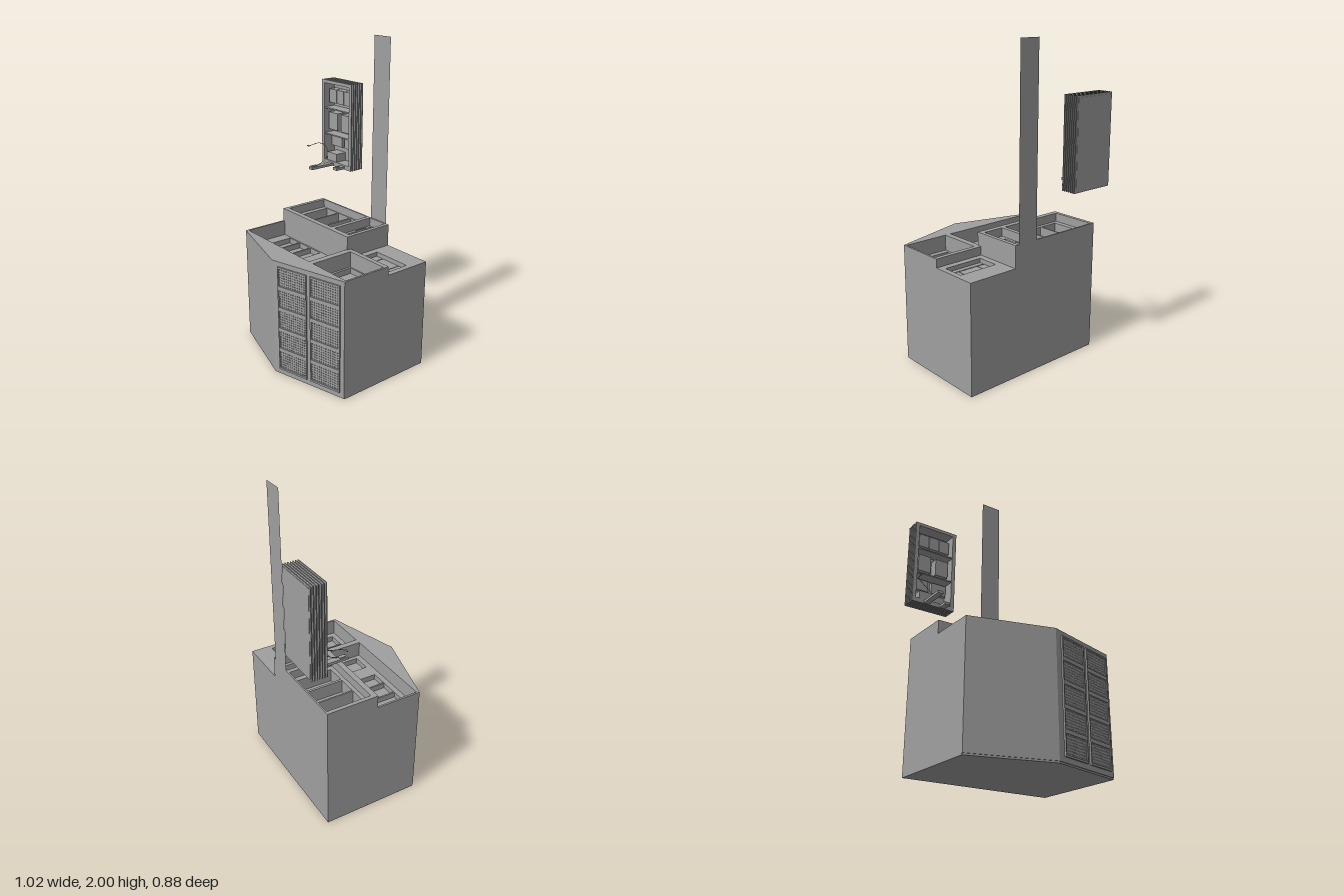
import * as THREE from 'three';

const grey = new THREE.MeshStandardMaterial({ color: 0xa0a0a0 });
grey.name = 'plain grey';
const greySheet = new THREE.MeshStandardMaterial({ color: 0xa0a0a0, side: THREE.DoubleSide });
greySheet.name = 'plain grey';

function add(parent, name, geometry, material = grey) {
  const mesh = new THREE.Mesh(geometry, material);
  mesh.name = name;
  parent.add(mesh);
  return mesh;
}

// Box given by its limits on each axis
function block(parent, name, x0, x1, y0, y1, z0, z1) {
  const mesh = add(parent, name, new THREE.BoxGeometry(x1 - x0, y1 - y0, z1 - z0));
  mesh.position.set((x0 + x1) / 2, (y0 + y1) / 2, (z0 + z1) / 2);
  return mesh;
}

const rect = (x0, x1, y0, y1) => [[x0, y0], [x1, y0], [x1, y1], [x0, y1]];
const toVectors = (points) => points.map(([x, y]) => new THREE.Vector2(x, y));

function plate(outline, holes, depth) {
  const shape = new THREE.Shape(toVectors(outline));
  shape.holes = holes.map((h) => new THREE.Path(toVectors(rect(...h))));
  return new THREE.ExtrudeGeometry(shape, { depth, bevelEnabled: false });
}

// Horizontal slab: outline and holes in x, z
function layer(parent, name, outline, holes, y0, y1) {
  const geometry = plate(outline, holes, y1 - y0);
  geometry.rotateX(Math.PI / 2).translate(0, y1, 0);
  return add(parent, name, geometry);
}

function createCabinet() {
  const cabinet = new THREE.Group();
  cabinet.name = 'cabinet';
  const footprint = [[-0.49, -0.34], [0.51, -0.34], [0.51, 0.3], [0.01, 0.44], [-0.49, 0.3]];
  const inset = [[-0.49, -0.34], [0.51, -0.34], [0.51, 0.295], [0.01, 0.435], [-0.49, 0.295]];
  const notched = [[-0.49, -0.34], [0.175, -0.34], [0.175, -0.03], [0.51, -0.03],
    [0.51, 0.3], [0.01, 0.44], [-0.49, 0.3]];

  const basins = [[-0.478, 0.165, 0, 0.285], [0.205, 0.498, 0, 0.285]];
  const basinPits = [[-0.405, -0.305, 0.01, 0.25], [-0.295, -0.19, 0.01, 0.25], [-0.18, -0.08, 0.01, 0.25],
    [0.02, 0.14, 0.105, 0.25], [0.22, 0.345, 0.01, 0.25], [0.352, 0.46, 0.01, 0.25]];
  const upperTrays = [[-0.465, -0.018, -0.33, -0.035], [0.01, 0.15, -0.33, -0.035]];
  const upperPits = [[-0.43, -0.31, -0.325, -0.06], [-0.3, -0.185, -0.325, -0.06],
    [-0.17, -0.05, -0.325, -0.06], [0.03, 0.13, -0.325, -0.09]];
  const sideTray = [0.215, 0.475, -0.21, -0.07];

  layer(cabinet, 'plinth', inset, [], 0, 0.01);
  layer(cabinet, 'lowerBody', footprint, [], 0.01, 0.62);
  layer(cabinet, 'pitLayer', footprint, basinPits, 0.62, 0.655);
  layer(cabinet, 'basinLayer', footprint, [...basins, sideTray], 0.655, 0.7);
  layer(cabinet, 'worktop', notched, [...basins, ...upperPits], 0.7, 0.755);
  layer(cabinet, 'raisedTrayFloor', rect(-0.49, 0.175, -0.34, 0), upperPits, 0.755, 0.785);
  layer(cabinet, 'raisedTrayWalls', rect(-0.49, 0.175, -0.34, 0), upperTrays, 0.785, 0.84);

  // Inserts in the side tray and a small door handle
  [[0.22, 0.272], [0.277, 0.41], [0.415, 0.47]].forEach(([a, b]) =>
    block(cabinet, 'trayInsert', a, b, 0.655, 0.675, -0.205, -0.112));
  block(cabinet, 'trayBar', 0.22, 0.47, 0.655, 0.675, -0.105, -0.075);
  block(cabinet, 'hatchHandle', 0.034, 0.042, 0.7, 0.795, -0.27, -0.19);
  return cabinet;
}

// Perforated panels on the slanted front face
function createVents() {
  const vents = new THREE.Group();
  vents.name = 'frontVents';
  vents.position.set(0.01, 0, 0.44);
  vents.rotation.y = Math.atan2(0.14, 0.5);
  const rows = [0, 1, 2, 3, 4].map((i) => 0.048 + i * 0.1375);
  const high = 0.122, cols = 12, lines = 7;
  for (const [s0, s1] of [[0.045, 0.255], [0.282, 0.492]]) {
    const windows = rows.map((y) => [s0 + 0.008, s1 - 0.008, y + 0.004, y + high - 0.004]);
    add(vents, 'ventFrame', plate(rect(s0, s1, 0.04, 0.725), windows, 0.01));
    for (const [a, b, c, d] of windows) {
      const holes = [];
      for (let i = 0; i < cols; i++) {
        for (let j = 0; j < lines; j++) {
          const x = a + ((i + 0.5) / cols) * (b - a);
          const y = c + ((j + 0.5) / lines) * (d - c);
          holes.push([x - 0.003, x + 0.003, y - 0.003, y + 0.003]);
        }
      }
      add(vents, 'ventGrille', plate(rect(a, b, c, d), holes, 0.005));
    }
  }
  return vents;
}

// Floating shelf unit with ribbed sides
function createWallUnit() {
  const unit = new THREE.Group();
  unit.name = 'wallUnit';
  const shell = add(unit, 'unitFrame', plate(rect(-0.485, -0.21, 1.105, 1.66), [[-0.472, -0.222, 1.13, 1.65]], 0.09));
  shell.position.z = -0.43;
  block(unit, 'unitBack', -0.485, -0.21, 1.105, 1.66, -0.44, -0.425);
  for (let i = 0; i < 7; i++) {
    const rib = add(unit, 'sideRib', plate(rect(-0.498, -0.197, 1.1, 1.672), [[-0.475, -0.22, 1.12, 1.652]], 0.005));
    rib.position.z = -0.438 + i * 0.0155;
  }
  for (const y of [1.31, 1.485]) block(unit, 'shelf', -0.475, -0.22, y - 0.004, y + 0.004, -0.428, -0.342);

  // Stored boxes, each as x0, x1, y0, y1, front z
  const boxes = [
    [-0.455, -0.385, 1.52, 1.61, -0.37], [-0.38, -0.31, 1.52, 1.61, -0.37], [-0.305, -0.235, 1.52, 1.61, -0.37],
    [-0.455, -0.365, 1.34, 1.455, -0.365], [-0.33, -0.24, 1.34, 1.455, -0.365],
    [-0.465, -0.36, 1.22, 1.295, -0.4], [-0.335, -0.23, 1.22, 1.295, -0.4],
    [-0.445, -0.35, 1.13, 1.185, -0.345],
  ];
  boxes.forEach(([a, b, c, d, z]) => block(unit, 'storedBox', a, b, c, d, -0.426, z));

  // Brackets below, with a switch and a knob cluster
  block(unit, 'longBracket', -0.415, -0.378, 1.103, 1.12, -0.345, -0.16);
  block(unit, 'shortBracket', -0.3, -0.263, 1.103, 1.12, -0.345, -0.274);
  block(unit, 'bracketSocket', -0.408, -0.386, 1.12, 1.126, -0.21, -0.17);
  for (let i = 0; i < 6; i++) {
    const pin = add(unit, 'pin', new THREE.CylinderGeometry(0.003, 0.003, 0.006, 8));
    pin.position.set(-0.291 + (i % 3) * 0.01, 1.123, -0.3 + Math.floor(i / 3) * 0.013);
  }

  // Loose cable with a plug
  const path = new THREE.CatmullRomCurve3([
    [-0.397, 1.122, -0.2], [-0.393, 1.135, -0.25], [-0.395, 1.165, -0.295], [-0.415, 1.205, -0.317],
    [-0.45, 1.235, -0.32], [-0.48, 1.246, -0.3], [-0.488, 1.24, -0.25], [-0.498, 1.233, -0.23],
  ].map((p) => new THREE.Vector3(...p)));
  add(unit, 'cable', new THREE.TubeGeometry(path, 40, 0.002, 6));
  block(unit, 'plug', -0.514, -0.496, 1.23, 1.237, -0.23, -0.223);
  return unit;
}

export function createModel() {
  const model = new THREE.Group();
  model.name = 'counterWithWallUnit';
  model.add(createCabinet(), createVents(), createWallUnit());

  // Tall thin strip rising from the back face
  const strip = add(model, 'tallStrip', new THREE.PlaneGeometry(0.14, 1.24), greySheet);
  strip.position.set(0.08, 1.38, -0.34);
  return model;
}
